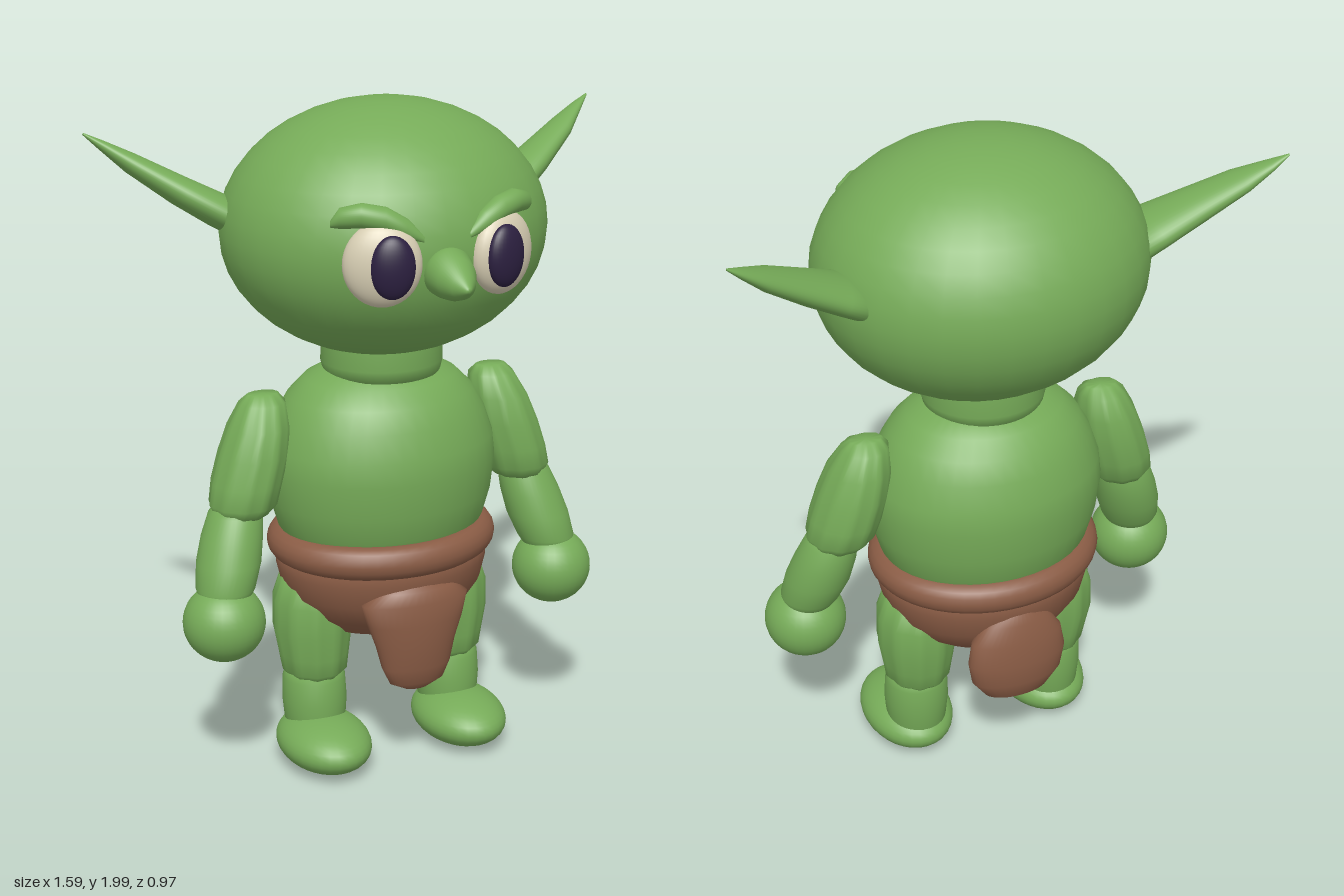
import * as THREE from 'three';

const mat = (name, color) => {
  const m = new THREE.MeshStandardMaterial({ color });
  m.name = name;
  return m;
};

// Smooth closed skin through oval sections [x, y, z, a, b]; a lies along u, b along v.
function loft(sections, u, v, ripple = 0, lobes = 10, n = 40) {
  const first = sections[0], last = sections[sections.length - 1];
  const dir = new THREE.Vector3(last[0] - first[0], last[1] - first[1], last[2] - first[2]);
  const U = new THREE.Vector3(...u).normalize(), V = new THREE.Vector3(...v).normalize();
  if (U.clone().cross(V).dot(dir) < 0) V.negate();
  const rings = [[...first.slice(0, 3), 0, 0], ...sections, [...last.slice(0, 3), 0, 0]];
  const pos = [], idx = [], p = new THREE.Vector3();
  rings.forEach(([x, y, z, a, b], i) => {
    for (let j = 0; j < n; j++) {
      const t = (j / n) * Math.PI * 2, k = 1 + ripple * Math.cos(lobes * t);
      p.set(x, y, z).addScaledVector(U, a * k * Math.cos(t)).addScaledVector(V, b * k * Math.sin(t));
      pos.push(p.x, p.y, p.z);
      if (i === rings.length - 1) continue;
      const q = i * n + j, r = i * n + (j + 1) % n;
      idx.push(q, r, r + n, q, r + n, q + n);
    }
  });
  const g = new THREE.BufferGeometry();
  g.setAttribute('position', new THREE.Float32BufferAttribute(pos, 3));
  g.setIndex(idx);
  g.computeVertexNormals();
  return g;
}

// Turned shape from [radius, y] points listed bottom to top
const turned = (pts) => new THREE.LatheGeometry(pts.map(([r, y]) => new THREE.Vector2(r, y)), 40);

export function createModel() {
  const model = new THREE.Group();
  model.name = 'goblin';
  const skin = mat('green skin', 0x76ab58);
  const cloth = mat('brown cloth', 0x8a5c45);
  const cream = mat('eye cream', 0xd8cfb4);
  const dark = mat('pupil dark', 0x2c2040);

  const add = (name, geo, material, x = 0, y = 0, z = 0) => {
    const m = new THREE.Mesh(geo, material);
    m.name = name;
    m.position.set(x, y, z);
    model.add(m);
    return m;
  };
  const ball = (name, material, x, y, z, rx, ry, rz) => {
    const m = add(name, new THREE.SphereGeometry(1, 32, 20), material, x, y, z);
    m.scale.set(rx, ry, rz);
    return m;
  };
  const X = [1, 0, 0], Y = [0, 1, 0], Z = [0, 0, 1];

  // Head, neck and trunk
  ball('head', skin, 0, 1.635, -0.063, 0.477, 0.365, 0.425);
  add('neck', turned([[0.14, 1.19], [0.172, 1.205], [0.18, 1.24], [0.178, 1.3]]), skin, 0, 0, -0.08).scale.z = 0.95;
  add('torso', turned([[0, 0.66], [0.27, 0.67], [0.315, 0.75], [0.338, 0.83], [0.35, 0.93], [0.342, 1.0],
    [0.315, 1.08], [0.28, 1.14], [0.23, 1.19], [0.16, 1.225], [0, 1.245]]), skin, 0, 0, -0.09).scale.z = 0.815;

  // Loincloth
  const belt = add('belt', new THREE.TorusGeometry(0.298, 0.05, 16, 48), cloth, 0, 0.694, -0.085);
  belt.rotation.x = Math.PI / 2;
  belt.scale.y = 0.855;
  add('shorts', turned([[0, 0.385], [0.1, 0.395], [0.19, 0.43], [0.26, 0.485], [0.305, 0.55],
    [0.322, 0.62], [0.32, 0.68], [0, 0.69]]), cloth, 0, 0, -0.085).scale.z = 0.84;
  add('frontFlap', loft([
    [0.005, 0.285, 0.155, 0.035, 0.015], [0.005, 0.31, 0.155, 0.085, 0.035], [0.005, 0.36, 0.152, 0.108, 0.052],
    [0.005, 0.43, 0.147, 0.125, 0.064], [0.005, 0.5, 0.144, 0.15, 0.071], [0.005, 0.565, 0.14, 0.168, 0.07],
    [0.005, 0.6, 0.135, 0.125, 0.06], [0.005, 0.635, 0.13, 0.05, 0.035]], X, Z), cloth);
  add('backFlap', loft([
    [0, 0.31, -0.325, 0.045, 0.02], [0, 0.335, -0.326, 0.1, 0.048], [0, 0.39, -0.328, 0.14, 0.063],
    [0, 0.46, -0.329, 0.152, 0.066], [0, 0.53, -0.325, 0.14, 0.06], [0, 0.59, -0.32, 0.1, 0.05],
    [0, 0.635, -0.315, 0.045, 0.03]], X, Z), cloth);

  // Nose
  add('nose', loft([
    [0, 1.59, 0.3, 0.068, 0.068], [0, 1.59, 0.37, 0.07, 0.07], [0, 1.582, 0.41, 0.058, 0.058],
    [0, 1.573, 0.45, 0.036, 0.036], [0, 1.568, 0.483, 0.008, 0.008]], X, Y), skin);

  for (const s of [1, -1]) {
    const side = s > 0 ? 'left' : 'right';
    const mirrored = (name, sections, u, v, ripple) =>
      add(side + name, loft(sections.map(([x, ...r]) => [s * x, ...r]),
        [s * u[0], u[1], u[2]], [s * v[0], v[1], v[2]], ripple), skin);

    // Face
    ball(side + 'Eye', cream, s * 0.178, 1.622, 0.32, 0.108, 0.117, 0.055).rotation.y = s * 0.36;
    ball(side + 'Pupil', dark, s * 0.168, 1.622, 0.365, 0.062, 0.087, 0.033).rotation.y = s * 0.28;
    mirrored('Brow', [
      [0.295, 1.728, 0.245, 0.01, 0.01], [0.275, 1.745, 0.26, 0.028, 0.028], [0.225, 1.754, 0.293, 0.034, 0.034],
      [0.165, 1.743, 0.32, 0.034, 0.034], [0.11, 1.715, 0.336, 0.028, 0.026], [0.065, 1.685, 0.345, 0.01, 0.01]],
    Y, [0.45, 0, 0.9]);
    mirrored('Ear', [
      [0.36, 1.64, -0.165, 0.1, 0.05], [0.46, 1.697, -0.178, 0.1, 0.049], [0.56, 1.755, -0.213, 0.078, 0.042],
      [0.68, 1.832, -0.264, 0.054, 0.029], [0.75, 1.881, -0.3, 0.025, 0.014], [0.795, 1.912, -0.32, 0.003, 0.003]],
    Z, [-0.5, 0.86, 0]);

    // Arms
    mirrored('UpperArm', [
      [0.365, 1.17, -0.1, 0.045, 0.03], [0.368, 1.145, -0.097, 0.068, 0.065], [0.384, 1.08, -0.09, 0.088, 0.098],
      [0.404, 1.0, -0.085, 0.1, 0.11], [0.428, 0.92, -0.08, 0.1, 0.113], [0.442, 0.86, -0.074, 0.098, 0.104],
      [0.45, 0.828, -0.07, 0.075, 0.08]], X, Z, 0.03);
    mirrored('Forearm', [
      [0.462, 0.862, -0.07, 0.06, 0.06], [0.468, 0.835, -0.068, 0.079, 0.078], [0.485, 0.77, -0.055, 0.09, 0.09],
      [0.503, 0.7, -0.038, 0.094, 0.097], [0.522, 0.63, -0.018, 0.086, 0.09], [0.53, 0.59, -0.01, 0.07, 0.07]], X, Z);
    ball(side + 'Hand', skin, s * 0.535, 0.53, 0, 0.12, 0.116, 0.12);

    // Legs
    mirrored('Thigh', [
      [0.215, 0.6, -0.095, 0.095, 0.11], [0.222, 0.52, -0.095, 0.115, 0.128], [0.224, 0.43, -0.095, 0.115, 0.128],
      [0.222, 0.35, -0.092, 0.103, 0.115], [0.221, 0.3, -0.09, 0.096, 0.107], [0.221, 0.277, -0.09, 0.075, 0.085]],
    X, Z, 0.03);
    mirrored('Shin', [
      [0.222, 0.3, -0.09, 0.08, 0.08], [0.222, 0.27, -0.088, 0.094, 0.094], [0.222, 0.2, -0.085, 0.097, 0.099],
      [0.222, 0.12, -0.082, 0.09, 0.095], [0.222, 0.07, -0.08, 0.07, 0.08]], X, Z);
    ball(side + 'Foot', skin, s * 0.225, 0.088, -0.008, 0.135, 0.08, 0.188);
  }
  return model;
}
